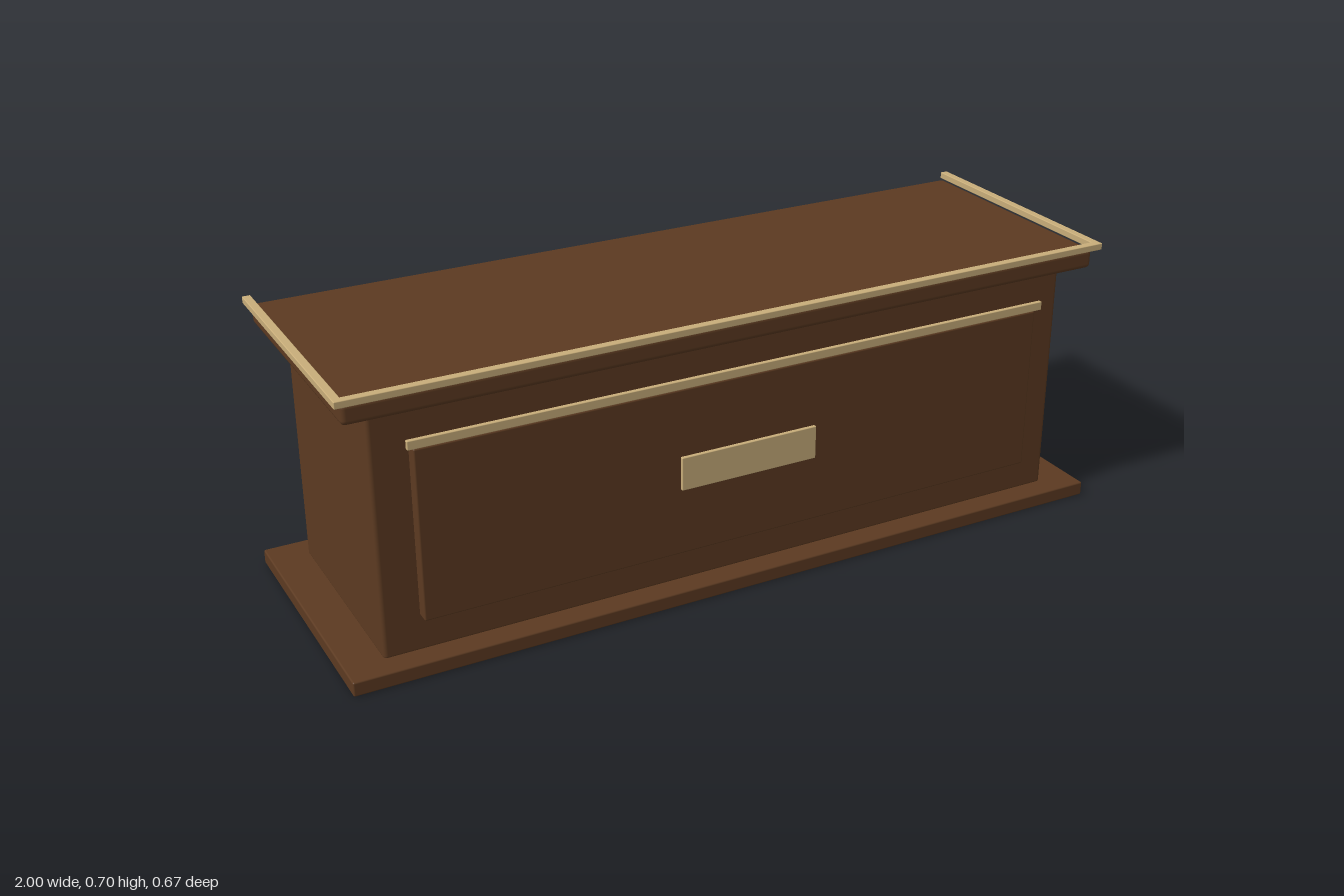
import * as THREE from 'three';
import { RoundedBoxGeometry } from 'three/addons/geometries/RoundedBoxGeometry.js';

export function createModel() {
  const group = new THREE.Group();
  const wood = new THREE.MeshStandardMaterial({ color: 0x5c3a21 });
  wood.name = 'darkWood';
  const brass = new THREE.MeshStandardMaterial({ color: 0xc9ae7a });
  brass.name = 'paleBrass';

  // Rounded block given by its min/max extents on each axis
  function block(name, material, [x0, x1], [y0, y1], [z0, z1], radius) {
    const geometry = new RoundedBoxGeometry(x1 - x0, y1 - y0, z1 - z0, 3, radius);
    const mesh = new THREE.Mesh(geometry, material);
    mesh.name = name;
    mesh.position.set((x0 + x1) / 2, (y0 + y1) / 2, (z0 + z1) / 2);
    group.add(mesh);
  }

  // Carcass: plinth, body and overhanging top
  block('base', wood, [-1, 1], [0, 0.036], [-0.333, 0.333], 0.004);
  block('body', wood, [-0.907, 0.907], [0.03, 0.638], [-0.273, 0.273], 0.01);
  block('top', wood, [-0.971, 0.971], [0.637, 0.687], [-0.318, 0.318], 0.012);

  // Raised drawer front with its trim strip and handle plate
  block('drawerFront', wood, [-0.817, 0.817], [0.123, 0.545], [0.26, 0.304], 0.004);
  block('drawerTrim', brass, [-0.832, 0.832], [0.548, 0.57], [0.299, 0.31], 0.002);
  block('handlePlate', brass, [-0.18, 0.18], [0.293, 0.377], [0.303, 0.313], 0.002);

  // Rails along the front and both ends of the top, open at the back
  block('frontRail', brass, [-0.988, 0.988], [0.687, 0.704], [0.313, 0.333], 0.002);
  for (const side of [-1, 1]) {
    const xs = [side * 0.968, side * 0.988].sort((a, b) => a - b);
    block(side > 0 ? 'leftRail' : 'rightRail', brass, xs, [0.687, 0.704], [-0.325, 0.325], 0.002);
  }

  return group;
}
